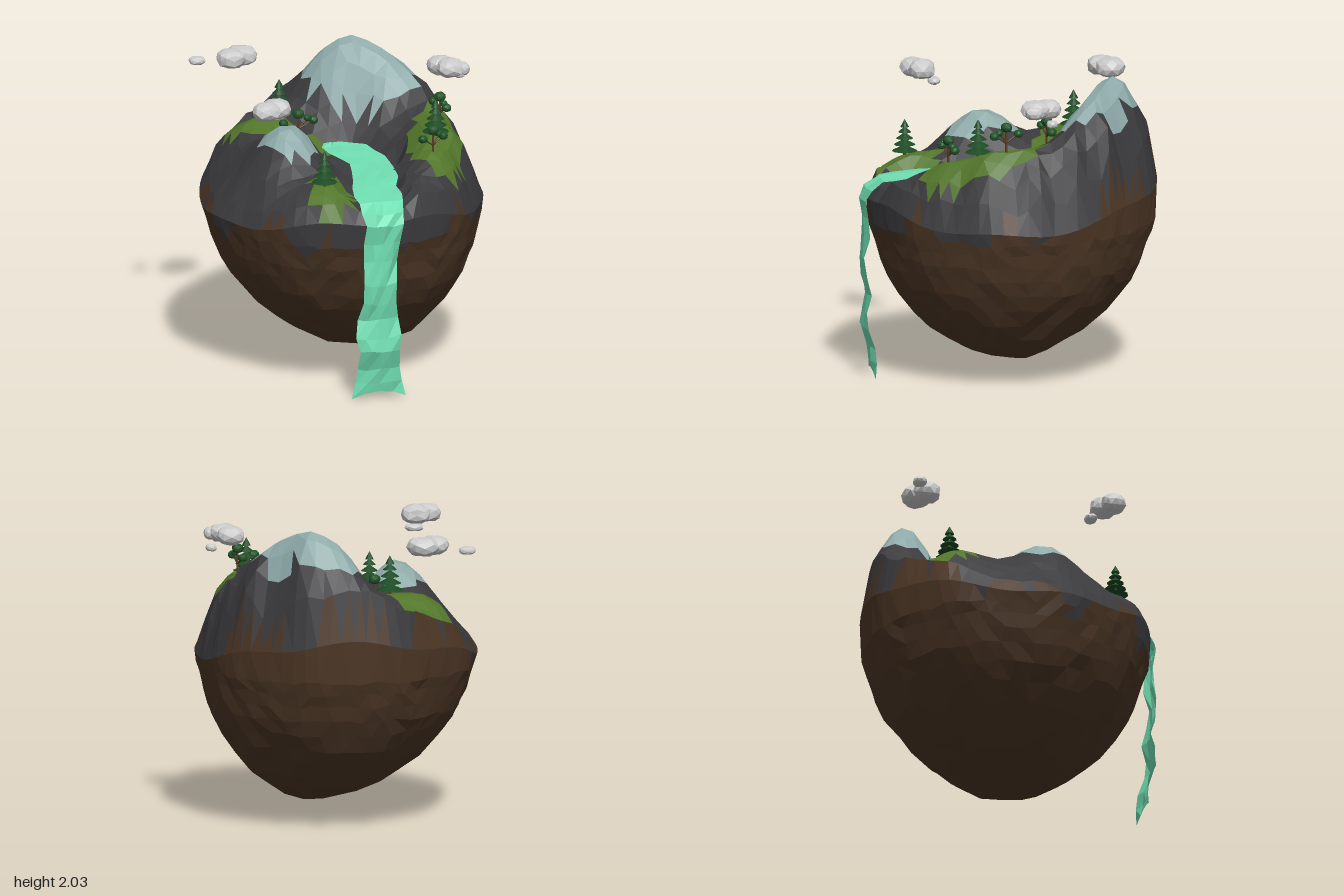
import * as THREE from 'three';

const COLORS = { rock: 0x3b3b3e, soil: 0x4c3625, grass: 0x52762a, snow: 0x8eaaa9, water: 0x70deb2, leaf: 0x1f5226, pine: 0x1c4a24, wood: 0x5b3b24, cloud: 0xcccccc };
const mats = {};
const mat = (name) => mats[name] ??= new THREE.MeshStandardMaterial({
  color: COLORS[name], flatShading: true, side: name === 'water' ? THREE.DoubleSide : THREE.FrontSide });

// repeatable noise in -1..1
const noise = (a, b = 0) => {
  const s = Math.sin(a * 127.1 + b * 311.7) * 43758.5453;
  return (s - Math.floor(s)) * 2 - 1;
};

// terrain heights as [x, z, y]
const PEAK = [[.2, -.62, 2], [.4, -.58, 1.98], [.02, -.72, 1.89], [.56, -.46, 1.86], [.08, -.59, 1.88], [.37, -.45, 1.88],
  [-.17, -.66, 1.62], [.05, -.86, 1.8], [.3, -.82, 1.87], [-.3, -.82, 1.48], [.64, -.62, 1.72], [.76, -.38, 1.64],
  [.17, -.48, 1.77], [.36, -.34, 1.74], [.57, -.29, 1.74], [0, -.36, 1.47], [.2, -.29, 1.48], [.42, -.17, 1.54], [-.12, -.46, 1.5]];
const RIGHT = [[.57, .27, 1.59], [.66, -.12, 1.65], [.65, .09, 1.64], [.47, .48, 1.53], [.47, .02, 1.54], [.34, .3, 1.45],
  [.45, .62, 1.46], [.83, -.1, 1.5], [.77, .25, 1.51], [.62, .55, 1.42], [.28, .65, 1.38], [.45, .77, 1.32]];
const LEFT = [[-.3, -.48, 1.58], [-.5, -.5, 1.56], [-.64, -.5, 1.49], [-.46, -.7, 1.47], [-.2, -.27, 1.46], [-.38, -.22, 1.49],
  [-.42, .08, 1.69], [-.42, .28, 1.62], [-.29, .1, 1.63], [-.55, .1, 1.61], [-.72, .1, 1.39], [-.72, -.25, 1.38], [-.66, .42, 1.35],
  [-.17, .15, 1.45], [-.4, .47, 1.43], [-.3, .65, 1.43], [-.28, .8, 1.34], [-.18, .55, 1.4], [-.53, .62, 1.33]];
// river and fall as [x, y, z, half width]
const RIVER = [[.02, 1.43, -.26, .06], [.07, 1.42, -.19, .15], [.09, 1.41, -.08, .17], [.13, 1.4, .03, .16], [.145, 1.395, .15, .145],
  [.13, 1.385, .3, .145], [.1, 1.375, .45, .15], [.065, 1.365, .6, .155], [.045, 1.35, .74, .155], [.035, 1.335, .85, .14]];
const FALL = [[.035, 1.28, .93, .135], [.025, 1.2, .96, .125], [.015, 1.08, .945, .12], [.01, .95, .94, .115], [-.01, .8, .965, .11],
  [-.01, .66, .945, .115], [-.01, .55, .92, .135], [-.015, .43, .95, .15], [0, .33, .95, .14], [0, .2, .905, .15], [0, .1, .895, .165], [.003, 0, .905, .185]];

// island rim at an angle
const rim = (a) => {
  const s = Math.sin(a), r = 1 + .008 * Math.sin(a * 9);
  return [.94 * r * Math.cos(a), 1.11 + .16 * s * s - .05 * s + .02 * Math.sin(a * 7), -.03 + .965 * r * s];
};
const POINTS = [...PEAK, ...RIGHT, ...LEFT, ...RIVER.map(([x, y, z]) => [x, z, y - .05])];
for (let i = 0; i < 24; i++) {
  const a = i / 24 * Math.PI * 2, [x, y, z] = rim(a);
  POINTS.push([x * .93, z * .93, y + .14 + .04 * Math.cos(a) + .2 * Math.max(0, -Math.sin(a)) ** 3]);
}

// smooth thin-plate surface through the height points
const basis = (x, z) => [...POINTS.map(([px, pz]) => {
  const d = (x - px) ** 2 + (z - pz) ** 2;
  return d ? d * Math.log(d) : 0;
}), 1, x, z];

function solveHeights() {
  const m = POINTS.map(([x, z, y], i) => {
    const row = basis(x, z);
    row[i] += .003;
    return [...row, y];
  });
  for (let k = 0; k < 3; k++) m.push([...POINTS.map(([x, z]) => [1, x, z][k]), 0, 0, 0, 0]);
  m.forEach((_, c) => {
    let p = c;
    for (let r = c; r < m.length; r++) if (Math.abs(m[r][c]) > Math.abs(m[p][c])) p = r;
    [m[c], m[p]] = [m[p], m[c]];
    m.forEach((row, r) => {
      const f = row[c] / m[c][c];
      if (r !== c) for (let k = c; k < row.length; k++) row[k] -= f * m[c][k];
    });
  });
  return m.map((row, i) => row.at(-1) / row[i]);
}
const WEIGHTS = solveHeights();

function ground(x, z) {
  const y = basis(x, z).reduce((sum, b, i) => sum + b * WEIGHTS[i], 0);
  // carve the river bed
  const row = RIVER.find((r) => r[2] >= z) ?? RIVER.at(-1);
  return z > -.27 && Math.abs(x - row[0]) < row[3] + .06 ? Math.min(y, row[1] - .05) : y;
}

// patches as [type, x, z, half length, half width, angle]
const PATCHES = [['snow', .27, -.56, .41, .21, .6], ['snow', -.41, .13, .24, .165, 1.57], ['grass', .58, .24, .4, .18, 1.8],
  ['grass', -.46, -.48, .24, .2, .8], ['grass', -.15, -.28, .24, .09, .25], ['grass', -.25, .67, .24, .15, 1.8]];

function surfaceType(x, y, z, top) {
  if (top) for (const [type, px, pz, l, w, a] of PATCHES) {
    const dx = x - px, dz = z - pz, c = Math.cos(a), s = Math.sin(a);
    if (((dx * c + dz * s) / l) ** 2 + ((dz * c - dx * s) / w) ** 2 < 1) return type;
  }
  const a = Math.atan2(z, x);
  const edge = 1.1 + .4 * Math.max(0, -z - .1) + .08 * Math.sin(a * 8 + 1) + .06 * Math.sin(a * 17);
  return y < edge ? 'soil' : 'rock';
}

function flatMesh(name, positions, material) {
  const g = new THREE.BufferGeometry();
  g.setAttribute('position', new THREE.Float32BufferAttribute(positions, 3));
  g.computeVertexNormals();
  const mesh = new THREE.Mesh(g, mat(material));
  mesh.name = name;
  return mesh;
}

// underside profile as [y, radius fraction]
const BOWL = [[.13, 0], [.14, .14], [.18, .29], [.25, .43], [.34, .555], [.45, .675], [.56, .77], [.67, .845], [.78, .9], [.88, .935], [.97, .96], [1.05, .985]];

function createIsland() {
  const n = BOWL.length, buckets = { rock: [], soil: [], grass: [], snow: [] };
  const vertex = (k, i, top) => {
    const count = Math.max(1, 6 * k), a = ((i % count) / count) * Math.PI * 2;
    if (k === n) return rim(a);
    const j = (m) => k ? noise(k * 7.3 + (i % count), m + (top ? 0 : 5)) : 0;
    const [rx, ry, rz] = rim(a + j(1) * .2 / Math.max(k, 1));
    if (top) {
      const t = k / n, f = 1.25 * t - .25 * t * t + j(2) * .01;
      return [rx * f, ground(rx * f, rz * f) + j(3) * .006, rz * f];
    }
    const [y, r] = BOWL[k], f = r + j(2) * .008;
    return [rx * f + .17 * (1 - r), Math.min(y + j(3) * .015, ry - .03), rz * f + .03 * (1 - r)];
  };
  const face = (p, q, r, top) => {
    const c = [0, 1, 2].map((m) => (p[m] + q[m] + r[m]) / 3);
    buckets[surfaceType(...c, top)].push(...p, ...(top ? r : q), ...(top ? q : r));
  };
  for (const top of [true, false])
    for (let k = 1; k <= n; k++)
      for (let s = 0; s < 6; s++)
        for (let j = 0; j < k; j++) {
          const inner = vertex(k - 1, s * (k - 1) + j, top), b = vertex(k, s * k + j + 1, top);
          face(inner, vertex(k, s * k + j, top), b, top);
          if (j < k - 1) face(inner, b, vertex(k - 1, s * (k - 1) + j + 1, top), top);
        }
  const island = new THREE.Group();
  island.name = 'island';
  for (const type in buckets) island.add(flatMesh(type, buckets[type], type));
  return island;
}

function createWater() {
  const cols = 4, pos = [];
  const rows = [...RIVER, ...FALL].map(([x, y, z, w], k, all) => {
    const falling = k >= RIVER.length, last = k === all.length - 1;
    return Array.from({ length: cols + 1 }, (_, c) => {
      const u = c / cols * 2 - 1, bulge = 1 - u * u, j = last ? 0 : noise(k, c) * .012;
      return [x + u * w + j, y + (falling ? (last ? bulge * .045 : j) : j * .6), z + (falling ? bulge * (last ? .01 : .03) : 0) + j];
    });
  });
  for (let k = 0; k < rows.length - 1; k++)
    for (let c = 0; c < cols; c++) {
      const [a, b, d, e] = [rows[k][c], rows[k][c + 1], rows[k + 1][c], rows[k + 1][c + 1]];
      pos.push(...a, ...d, ...b, ...b, ...d, ...e);
    }
  return flatMesh('waterfall', pos, 'water');
}

// faceted, slightly boxy blob
function lump(name, material, x, y, z, rx, ry, rz) {
  const g = new THREE.IcosahedronGeometry(1, 1), p = g.attributes.position;
  for (let i = 0; i < p.count; i++) {
    const v = [p.getX(i), p.getY(i), p.getZ(i)].map((c) => Math.sign(c) * Math.abs(c) ** .85);
    const s = .95 + .06 * Math.sin(v[0] * 5 + x * 40) * Math.cos(v[1] * 4 + v[2] * 5 + z * 30);
    p.setXYZ(i, v[0] * s * rx, v[1] * s * ry, v[2] * s * rz);
  }
  const mesh = new THREE.Mesh(g, mat(material));
  mesh.name = name;
  mesh.position.set(x, y, z);
  return mesh;
}

function createPine(x, y, z, h) {
  const tree = new THREE.Group();
  tree.name = 'pineTree';
  tree.position.set(x, y, z);
  const add = (name, g, py, material) => {
    const m = new THREE.Mesh(g, mat(material));
    m.name = name;
    m.position.y = py;
    tree.add(m);
  };
  add('trunk', new THREE.CylinderGeometry(.006, .012, h * .95, 6), h * .42, 'wood');
  for (let i = 0; i < 5; i++)
    add('needles', new THREE.ConeGeometry(h * (.36 - i * .06), h * (.17 + (i === 4 ? .05 : 0)), 10), h * (.18 + i * .175), 'pine');
  return tree;
}

function createLeafyTree(x, y, z, angle, spread) {
  const tree = new THREE.Group();
  tree.name = 'leafyTree';
  const c = Math.cos(angle) * spread, s = Math.sin(angle) * spread;
  const branch = (name, a, b, r) => {
    const m = new THREE.Mesh(new THREE.TubeGeometry(new THREE.LineCurve3(a, b), 1, r, 5), mat('wood'));
    m.name = name;
    tree.add(m);
  };
  const fork = new THREE.Vector3(0, .06, 0);
  branch('trunk', new THREE.Vector3(0, -.03, 0), new THREE.Vector3(0, .15, 0), .008);
  for (const [u, h, r] of [[0, .165, .04], [1, .11, .034], [-1, .115, .032], [.6, .13, .026]]) {
    if (u) branch('branch', fork, new THREE.Vector3(c * u, h, s * u), .005);
    tree.add(lump('foliage', 'leaf', c * u, h, s * u, r, r * .85, r));
  }
  tree.position.set(x, y, z);
  return tree;
}

// each cloud is a list of [x, y, z, radius x, radius y, radius z]
const CLOUDS = [[[-.49, 1.93, -.75, .115, .07, .105], [-.57, 1.93, -.7, .105, .068, .1], [-.78, 1.905, -.79, .06, .03, .05]],
  [[-.59, 1.93, .5, .105, .07, .095], [-.67, 1.93, .55, .1, .067, .09], [-.57, 1.853, .42, .065, .027, .045]],
  [[.73, 1.93, -.18, .1, .068, .09], [.77, 1.935, -.09, .1, .066, .105], [.86, 1.855, -.19, .04, .028, .04], [.85, 1.93, -.07, .05, .045, .065]]];

export function createModel() {
  const model = new THREE.Group();
  model.name = 'floatingIsland';
  model.add(createIsland(), createWater());
  model.add(createPine(-.3, 1.57, -.48, .26), createPine(.57, 1.59, .27, .25), createPine(-.3, 1.42, .65, .24));
  model.add(createLeafyTree(.65, 1.63, .09, 1.3, .085), createLeafyTree(.5, 1.52, .46, -.4, .085), createLeafyTree(-.22, 1.47, -.29, -.2, .11));
  for (const parts of CLOUDS) {
    const cloud = new THREE.Group();
    cloud.name = 'cloud';
    for (const part of parts) cloud.add(lump('cloudPuff', 'cloud', ...part));
    model.add(cloud);
  }
  return model;
}
